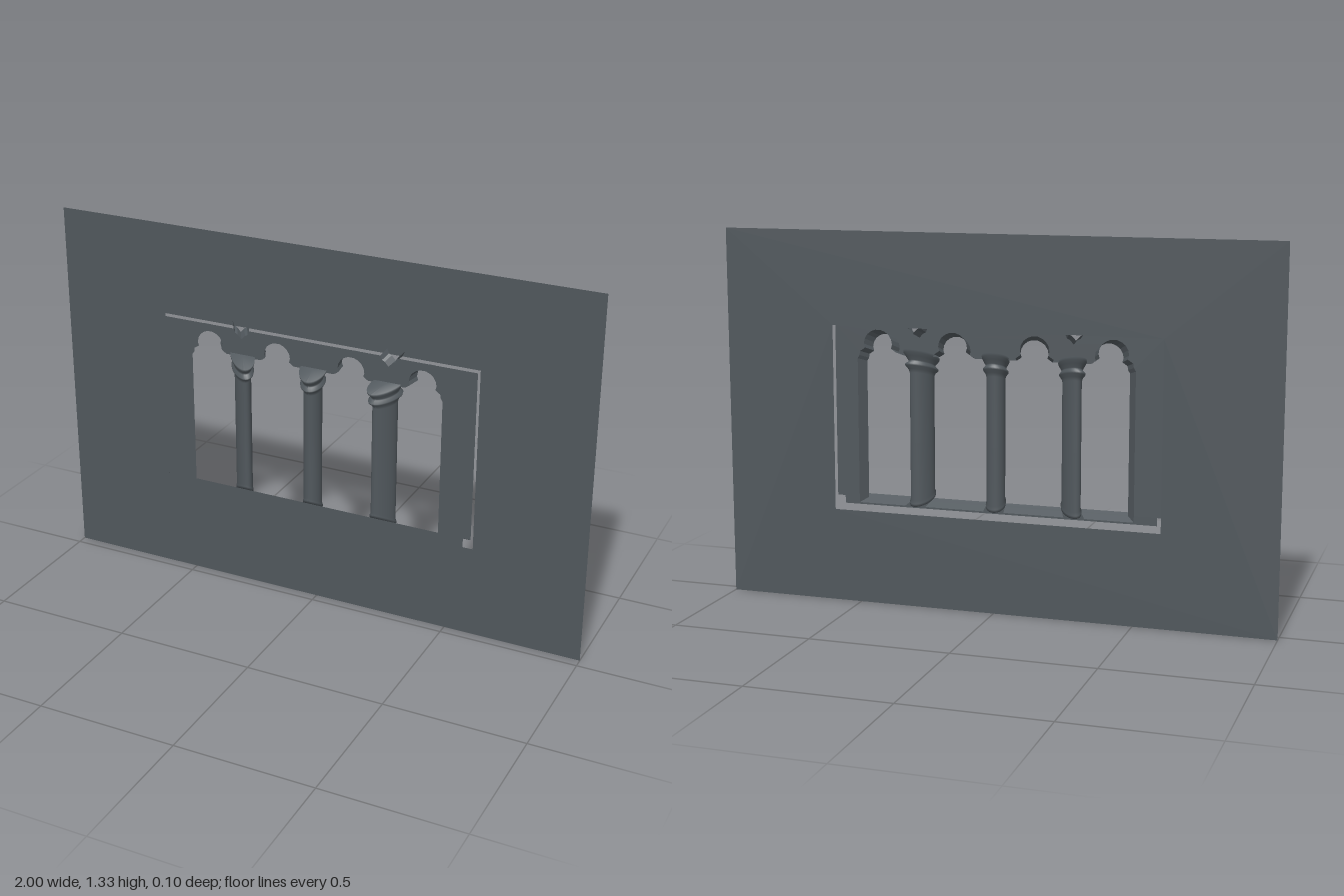
import * as THREE from 'three';

const CY = 0.67;      // centre of the taper
const FACE = -0.01;   // front plane of the arcade
const BACK = -0.035;  // plane of the wall
const SILL = 0.383;

// Everything in the window grows towards the back, like a forced perspective.
function taper(geo) {
  const p = geo.attributes.position;
  for (let i = 0; i < p.count; i++) {
    const s = 1 - 2.2 * (p.getZ(i) - FACE);
    p.setXY(i, p.getX(i) * s, CY + (p.getY(i) - CY) * s);
  }
  geo.computeVertexNormals();
  return geo;
}

// Ribbon running along a path of [x, y] points from depth z0 to z1.
function ribbon(path, z0, z1) {
  const v = [];
  for (let i = 0; i + 1 < path.length; i++) {
    const [ax, ay] = path[i], [bx, by] = path[i + 1];
    v.push(ax, ay, z0, bx, by, z0, bx, by, z1, ax, ay, z0, bx, by, z1, ax, ay, z1);
  }
  const g = new THREE.BufferGeometry();
  g.setAttribute('position', new THREE.Float32BufferAttribute(v, 3));
  return taper(g);
}

// Lobed arch from its left spring to its right spring.
function arch(cx) {
  const half = [[0.064, 0.9], [0.056, 0.905], [0.046, 0.912], [0.05, 0.925], [0.047, 0.942],
    [0.038, 0.957], [0.025, 0.967], [0.01, 0.973]];
  return [
    ...half.map(([x, y]) => [cx - x, y]),
    ...half.slice().reverse().map(([x, y]) => [cx + x, y]),
  ];
}

export function createModel() {
  const group = new THREE.Group();
  const mat = new THREE.MeshStandardMaterial({ color: 0x50575c, side: THREE.DoubleSide });
  const add = (name, geo) => {
    const m = new THREE.Mesh(geo, mat);
    m.name = name;
    group.add(m);
    return m;
  };
  const toShape = (pts) => new THREE.Shape(pts.map(([x, y]) => new THREE.Vector2(x, y)));
  const rect = (x, y0, y1) => [[-x, y0], [x, y0], [x, y1], [-x, y1]];

  // Wall with a rectangular window hole
  const wall = toShape(rect(1, 0, 1.333));
  wall.holes.push(toShape(rect(0.595, 0.335, 1.0)));
  add('wall', new THREE.ShapeGeometry(wall).translate(0, 0, BACK));

  // Arcade: four lobed lights under a spandrel with two small notches
  const jamb = [[-0.475, SILL], [-0.475, 0.875], [-0.468, 0.886]];
  const mirrored = jamb.map(([x, y]) => [-x, y]).reverse();
  const arches = [-0.402, -0.14, 0.14, 0.402].map(arch);
  const notch = (cx) => [[0.03, 1], [0.024, 0.985], [0.014, 0.98], [0, 0.965],
    [-0.014, 0.98], [-0.024, 0.985], [-0.03, 1]].map(([x, y]) => [cx + x, y]);
  const notches = [notch(0.278), notch(-0.278)];
  add('arcade', new THREE.ShapeGeometry(toShape([
    [-0.595, SILL], ...jamb, ...arches.flat(), ...mirrored,
    [0.595, SILL], [0.595, 1], ...notches.flat(), [-0.595, 1],
  ])).translate(0, 0, FACE));

  // Reveals behind the lights and notches
  arches.forEach((a, i) => {
    const path = i === 0 ? [...jamb, ...a] : i === 3 ? [...a, ...mirrored] : a;
    add('archReveal', ribbon(path, FACE, BACK));
  });
  notches.forEach((n) => add('notchReveal', ribbon(n, FACE, BACK)));
  for (const [a, b] of [[0.035, 0.24], [0.31, 0.475]]) {
    for (const s of [-1, 1]) {
      add('lightSill', ribbon([[s * a, SILL], [s * b, SILL]], FACE, BACK));
    }
  }

  // Sill: flat top and front face
  add('sillTop', ribbon([[-0.595, SILL], [0.595, SILL]], FACE, 0.005));
  const front = new THREE.ShapeGeometry(toShape(rect(0.592, 0.34, SILL)));
  add('sillFront', taper(front.translate(0, 0, 0.005)));

  // Columns with moulded capitals
  const profile = [[0, 0.383], [0.035, 0.383], [0.036, 0.393], [0.033, 0.402], [0.033, 0.6],
    [0.033, 0.836], [0.036, 0.848], [0.044, 0.858], [0.045, 0.864], [0.037, 0.873], [0.036, 0.878],
    [0.043, 0.89], [0.048, 0.9], [0.049, 0.908], [0, 0.908]].map(([r, y]) => new THREE.Vector2(r, y));
  for (const x of [-0.275, 0, 0.275]) {
    const g = new THREE.LatheGeometry(profile, 32).translate(x, 0, -0.003);
    add('column', taper(g));
  }
  return group;
}
